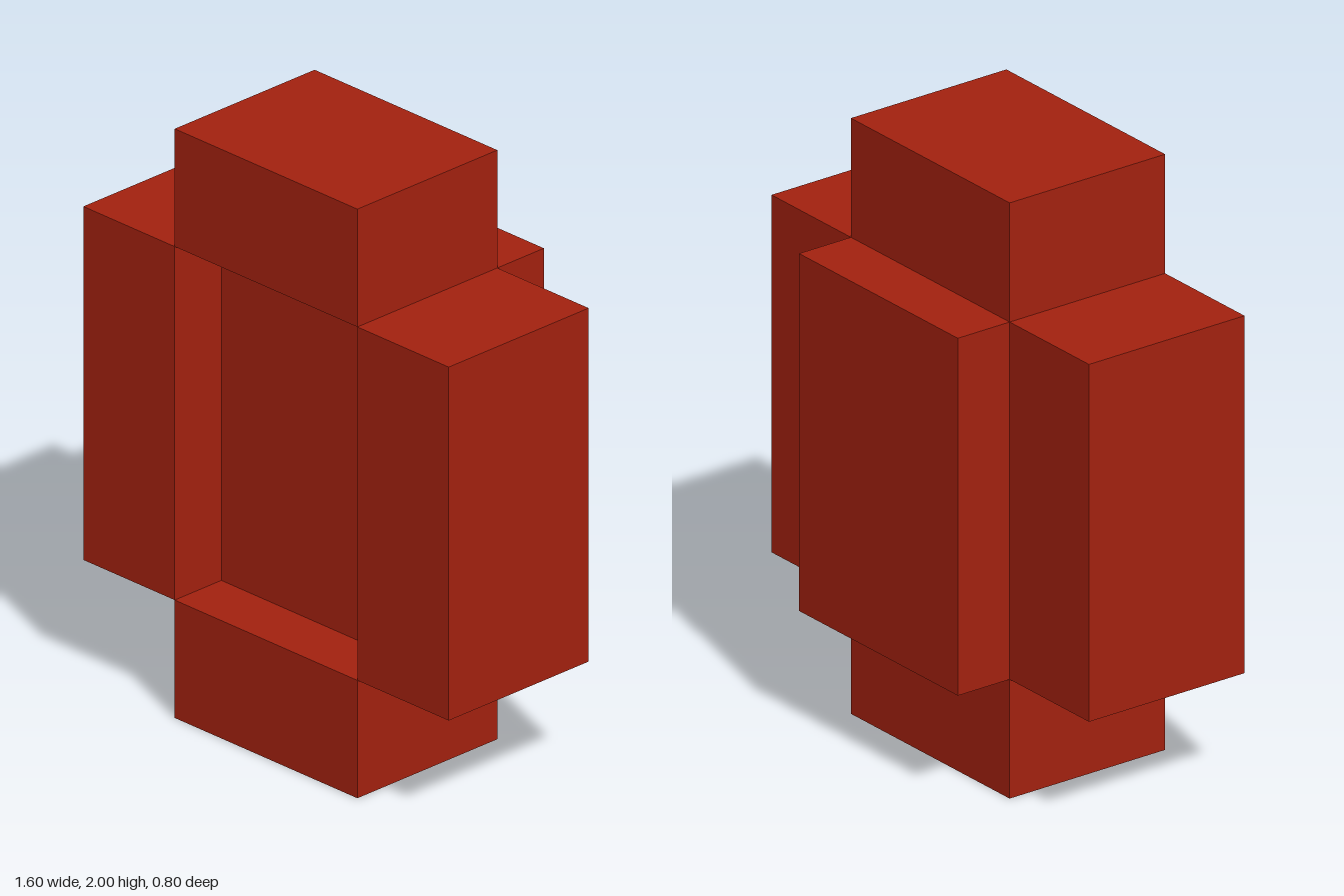
import * as THREE from 'three';

export function createModel() {
  const group = new THREE.Group();
  const brickRed = new THREE.MeshStandardMaterial({ color: 0xa3210f });
  brickRed.name = 'brickRed';

  const block = (name, size, position) => {
    const mesh = new THREE.Mesh(new THREE.BoxGeometry(...size), brickRed);
    mesh.name = name;
    mesh.position.set(...position);
    group.add(mesh);
  };

  // Core set back from the frame: recessed in front, raised behind
  block('coreBlock', [0.8, 1.2, 0.6], [0, 1, -0.1]);

  // Frame blocks above, below and on both sides
  block('topBlock', [0.8, 0.4, 0.6], [0, 1.8, 0.1]);
  block('bottomBlock', [0.8, 0.4, 0.6], [0, 0.2, 0.1]);
  for (const [name, side] of [['leftBlock', 1], ['rightBlock', -1]]) {
    block(name, [0.4, 1.2, 0.6], [side * 0.6, 1, 0.1]);
  }

  return group;
}
